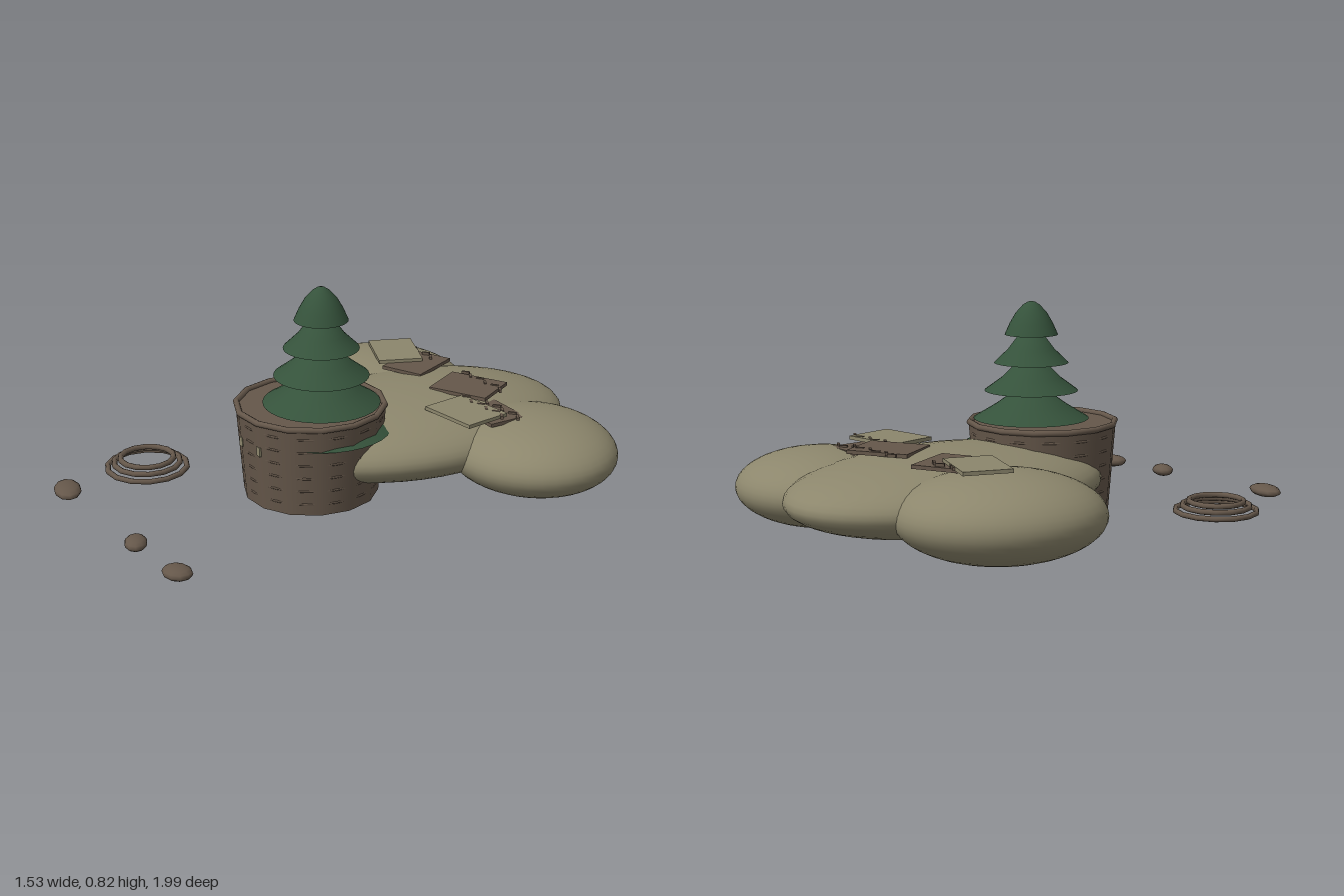
import * as THREE from 'three';

const mat = (name, color, side = THREE.FrontSide) => {
  const m = new THREE.MeshStandardMaterial({ color, side });
  m.name = name;
  return m;
};

export function createModel() {
  const model = new THREE.Group();
  model.name = 'pottedTreeGarden';
  const khaki = mat('khaki', 0x8c866c);
  const brown = mat('brown', 0x65574a);
  const green = mat('green', 0x35523b);

  const add = (name, geo, material, x, y, z, ry = 0, parent = model) => {
    const m = new THREE.Mesh(geo, material);
    m.name = name;
    m.position.set(x, y, z);
    m.rotation.y = ry;
    parent.add(m);
    return m;
  };
  const ellipsoid = (rx, ry, rz, w = 40, h = 24) => new THREE.SphereGeometry(1, w, h).scale(rx, ry, rz);
  const ring = (r, tube, sides, radial = 8) =>
    new THREE.TorusGeometry(r, tube, radial, sides).rotateX(Math.PI / 2);

  // Smooth mounds
  add('middleMound', ellipsoid(0.43, 0.15, 0.65), khaki, -0.01, 0.18, -0.35, -0.1);
  add('rightMound', ellipsoid(0.316, 0.162, 0.376), khaki, -0.43, 0.167, -0.48, -0.656);
  add('leftMound', ellipsoid(0.345, 0.145, 0.32), khaki, 0.42, 0.156, -0.59);

  // Fourteen-sided pot with a rounded rim
  const pot = new THREE.Group();
  pot.name = 'pot';
  pot.position.set(-0.015, 0, 0.137);
  model.add(pot);
  const SIDES = 14, y0 = 0.02, y1 = 0.365, r0 = 0.258, r1 = 0.285;
  add('potBody', new THREE.CylinderGeometry(r1, r0, y1 - y0, SIDES).rotateY(Math.PI / SIDES),
    brown, 0, (y0 + y1) / 2, 0, 0, pot);
  add('potRim', ring(0.281, 0.012, SIDES), brown, 0, 0.368, 0, 0, pot);

  // Round bands that break through the middle of every pot face
  for (let i = 0; i < 6; i++) {
    const y = 0.065 + i * 0.053;
    const r = r0 + (r1 - r0) * (y - y0) / (y1 - y0);
    add('potBand', ring(r * 0.986 - 0.005, 0.005, 56, 6), brown, 0, y, 0, 0, pot);
  }
  // Small pale inlays on the pot front
  for (const x of [-0.06, 0.06])
    add('potInlay', new THREE.BoxGeometry(0.02, 0.035, 0.008), khaki, x, 0.255, 0.269, 0, pot);

  // Tree: stacked skirts and a rounded tip, points are [radius, height]
  const tiers = [
    [[0, 0.28], [0.265, 0.28], [0.06, 0.38], [0, 0.38]],
    [[0, 0.375], [0.222, 0.38], [0.14, 0.43], [0.055, 0.49], [0, 0.5]],
    [[0, 0.485], [0.18, 0.487], [0.115, 0.535], [0.05, 0.6], [0, 0.61]],
    [[0, 0.592], [0.143, 0.594], [0.09, 0.645], [0.045, 0.705], [0, 0.715]],
    [[0, 0.7], [0.102, 0.702], [0.083, 0.745], [0.06, 0.785], [0.033, 0.815], [0.014, 0.827], [0, 0.83]],
  ];
  for (const tier of tiers) {
    const pts = tier.map(([r, y]) => new THREE.Vector2(r, y));
    // The underside is a separate disc so that the skirt edge stays sharp
    add('treeTier', new THREE.LatheGeometry(pts.slice(1), 32), green, 0.02, 0, 0.11);
    add('treeTierBase', new THREE.CircleGeometry(pts[1].x, 32).rotateX(Math.PI / 2), green, 0.02, pts[1].y, 0.11);
  }

  // Stepped rings on the ground
  [[0.157, 0.033], [0.13, 0.052], [0.105, 0.07]].forEach(([r, y]) =>
    add('groundRing', ring(r, 0.011, 14), brown, -0.53, y, 0.565));

  // Pebbles
  [[-0.48, 0.935, 0.085, 0.052, -0.35], [0.067, 0.94, 0.058, 0.042, -0.5], [0.347, 0.932, 0.06, 0.05, 0.2]]
    .forEach(([x, z, rx, rz, turn]) =>
      add('pebble', ellipsoid(rx, 0.024, rz, 10, 8), brown, x, 0.046, z, turn));

  // Thin slabs lying on the mounds: x, y, z, width, depth, turn, colour
  [
    [-0.36, 0.338, -0.52, 0.25, 0.18, -0.45, khaki],
    [-0.215, 0.325, -0.52, 0.18, 0.23, 0.36, brown],
    [0.113, 0.328, -0.525, 0.24, 0.2, 0.43, brown],
    [0.302, 0.322, -0.36, 0.245, 0.195, 0.07, khaki],
    [0.31, 0.292, -0.48, 0.22, 0.16, -0.07, brown],
  ].forEach(([x, y, z, w, d, turn, m]) =>
    add('slab', new THREE.BoxGeometry(w, 0.014, d), m, x, y, z, turn));

  // Rows of short pegs beside the slabs
  [[-0.33, 0.337, -0.6], [0.11, 0.332, -0.6], [0.31, 0.3, -0.52], [0.31, 0.325, -0.44]]
    .forEach(([x, y, z]) => {
      for (let i = 0; i < 6; i++)
        add('peg', new THREE.BoxGeometry(0.032, 0.012, 0.01), brown,
          x + (i - 2.5) * 0.045, y, z + (i % 2 ? 0.006 : -0.006), i % 2 ? -0.6 : 0.6);
    });

  return model;
}
